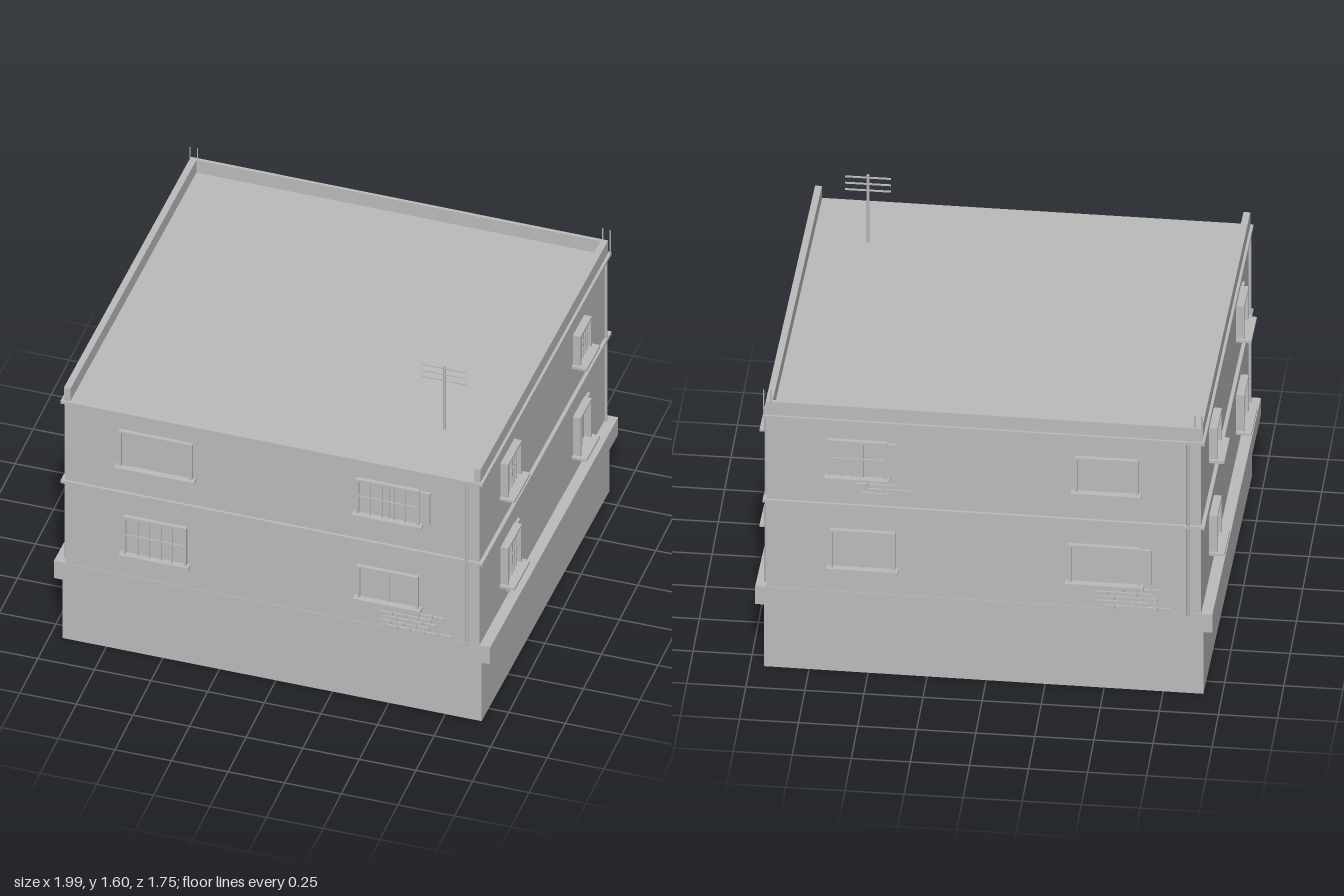
import * as THREE from 'three';

const concrete = new THREE.MeshStandardMaterial({ color: 0xbcbcbc });
concrete.name = 'grey concrete';

// Slightly skewed plan, corners as [x, z, sign x, sign z]
const PLAN = [[-0.935, 0.83, -1, 1], [0.9, 0.84, 1, 1], [0.93, -0.83, 1, -1], [-0.91, -0.845, -1, -1]];
const corners = (ox = 0, oz = 0) => PLAN.map(([x, z, sx, sz]) => [x + sx * ox, z + sz * oz]);

function add(parent, name, geometry) {
  const mesh = new THREE.Mesh(geometry, concrete);
  mesh.name = name;
  parent.add(mesh);
  return mesh;
}

// Upright prism over a plan polygon
function prism(parent, name, points, y0, y1) {
  const shape = new THREE.Shape(points.map(([x, z]) => new THREE.Vector2(x, -z)));
  const geometry = new THREE.ExtrudeGeometry(shape, { depth: y1 - y0, bevelEnabled: false });
  geometry.rotateX(-Math.PI / 2).translate(0, y0, 0);
  return add(parent, name, geometry);
}

// Box given by its ranges in x, y and z
function box(parent, name, x0, x1, y0, y1, z0, z1) {
  const mesh = add(parent, name, new THREE.BoxGeometry(x1 - x0, y1 - y0, z1 - z0));
  mesh.position.set((x0 + x1) / 2, (y0 + y1) / 2, (z0 + z1) / 2);
  return mesh;
}

function rod(parent, name, r, x, y0, y1, z) {
  const mesh = add(parent, name, new THREE.CylinderGeometry(r, r, y1 - y0, 8));
  mesh.position.set(x, (y0 + y1) / 2, z);
  return mesh;
}

// Group lying on one wall: local x runs along it, local z points outwards
function wallFrame(parent, name, i) {
  const [ax, az] = PLAN[i], [bx, bz] = PLAN[(i + 1) % 4];
  const group = new THREE.Group();
  group.name = name;
  group.position.set((ax + bx) / 2, 0, (az + bz) / 2);
  group.rotation.y = Math.atan2(az - bz, bx - ax);
  parent.add(group);
  return { group, half: Math.hypot(bx - ax, bz - az) / 2 };
}

// Framed window with panes, sill, and optional bars and open shutter
function windowUnit(wall, { x0, x1, y0, y1, bars, shutter, depth, sill }) {
  const g = new THREE.Group();
  g.name = 'window';
  wall.add(g);
  const t = 0.012, mid = (x0 + x1) / 2;
  box(g, 'pane', x0 + t, x1 - t, y0, y1 - t, -0.005, 0.004);
  box(g, 'frameLeft', x0, x0 + t, y0, y1, -0.005, depth);
  box(g, 'frameRight', x1 - t, x1, y0, y1, -0.005, depth);
  box(g, 'frameTop', x0 + t, x1 - t, y1 - t, y1, -0.005, depth);
  box(g, 'sill', x0 - 0.014, x1 + 0.014, y0 - 0.012, y0, -0.005, sill);
  box(g, 'mullion', mid - 0.005, mid + 0.005, y0, y1 - t, 0.004, depth * 0.5);
  if (bars) {
    const n = 5, w = x1 - x0 - 2 * t;
    for (let i = 1; i < n; i++) {
      const x = x0 + t + (w * i) / n;
      box(g, 'bar', x - 0.003, x + 0.003, y0, y1 - t, depth * 0.6, depth * 0.6 + 0.006);
    }
    const y = (y0 + y1) / 2;
    box(g, 'crossBar', x0 + t, x1 - t, y - 0.003, y + 0.003, depth * 0.6, depth * 0.6 + 0.006);
  }
  if (shutter) box(g, 'shutter', x1, x1 + 0.045, y0 + 0.004, y1 - 0.008, -0.005, 0.012);
}

// Patch of exposed bricks with ragged ends; rows listed top down as [start, end]
function brickPatch(wall, top, rows) {
  const g = new THREE.Group();
  g.name = 'exposedBricks';
  wall.add(g);
  rows.forEach(([start, end], r) => {
    const y = top - r * 0.0225, count = Math.max(1, Math.round((end - start) / 0.058));
    const w = (end - start) / count;
    for (let i = 0; i < count; i++) {
      box(g, 'brick', start + i * w, start + (i + 1) * w - 0.005, y - 0.017, y, -0.005, 0.007);
    }
  });
}

export function createModel() {
  const model = new THREE.Group();
  model.name = 'house';

  // Storeys, plinth and bands
  prism(model, 'plinth', corners(0.01, 0.003), 0, 0.4);
  prism(model, 'plinthLedge', corners(0.048, 0.003), 0.31, 0.4);
  prism(model, 'walls', corners(), 0.39, 1.26);
  prism(model, 'floorBand', corners(0.016, 0.012), 0.828, 0.842);
  prism(model, 'roofBand', corners(0.016, 0.012), 1.25, 1.264);

  // Parapet on three sides, open at the front
  const [fl, fr, br, bl] = corners(0.004, 0.002);
  const [ifl, ifr, ibr, ibl] = corners(-0.025, -0.013);
  ifl[1] = fl[1];
  ifr[1] = fr[1];
  prism(model, 'parapet', [fl, ifl, ibl, ibr, ifr, fr, br, bl], 1.255, 1.33);

  // Windows in wall coordinates, seen from outside with x to the right
  const names = ['frontWall', 'leftWall', 'backWall', 'rightWall'];
  const windows = [
    [
      [-0.675, -0.35, 0.985, 1.17], [0.375, 0.655, 0.985, 1.165, 1, 1],
      [-0.655, -0.375, 0.525, 0.72, 1], [0.38, 0.65, 0.54, 0.705],
    ],
    [
      [-0.56, -0.38, 0.99, 1.165, 1], [0.385, 0.535, 1.0, 1.155, 1],
      [-0.56, -0.38, 0.525, 0.72, 1, 1], [0.385, 0.535, 0.52, 0.72, 0, 1],
    ],
    [
      [-0.66, -0.41, 0.985, 1.165, 1, 1], [0.385, 0.655, 0.985, 1.155],
      [-0.65, -0.375, 0.53, 0.715], [0.36, 0.665, 0.53, 0.715, 0, 1],
    ],
    [
      [-0.555, -0.395, 0.995, 1.15], [0.38, 0.54, 0.995, 1.155, 0, 1],
      [-0.555, -0.395, 0.53, 0.71, 1], [0.38, 0.54, 0.53, 0.71, 1],
    ],
  ];
  const walls = windows.map((list, i) => {
    const { group, half } = wallFrame(model, names[i], i);
    const side = i % 2 === 1;
    for (const [x0, x1, y0, y1, bars, shutter] of list) {
      windowUnit(group, { x0, x1, y0, y1, bars, shutter, depth: side ? 0.034 : 0.018, sill: side ? 0.066 : 0.034 });
    }
    // Drain pipe near the right-hand corner
    rod(group, 'drainPipe', 0.007, half - (side ? 0.036 : 0.053), 0.39, 1.252, 0.006);
    return group;
  });

  // Patches of bare brick
  brickPatch(walls[0], 0.507, [[0.545, 0.77], [0.48, 0.71], [0.5, 0.73], [0.48, 0.7], [0.5, 0.8]]);
  brickPatch(walls[1], 0.492, [[-0.485, -0.38], [-0.46, -0.305], [-0.485, -0.34], [-0.45, -0.33], [-0.485, -0.4]]);
  brickPatch(walls[2], 0.507, [[0.55, 0.76], [0.47, 0.72], [0.5, 0.74], [0.48, 0.7], [0.5, 0.8]]);
  brickPatch(walls[2], 0.95, [[-0.55, -0.36], [-0.49, -0.29], [-0.52, -0.4]]);

  // Reinforcing rods at the back corners
  for (const x of [-0.915, -0.882, 0.91, 0.943]) {
    rod(model, 'reinforcingRod', 0.003, x, 1.25, 1.387, x < 0 ? -0.838 : -0.83);
  }

  // Roof aerial
  rod(model, 'aerialMast', 0.007, 0.647, 1.26, 1.6, 0.535);
  for (const y of [1.587, 1.555, 1.523]) {
    box(model, 'aerialArm', 0.55, 0.745, y - 0.003, y + 0.003, 0.532, 0.538);
  }
  return model;
}
